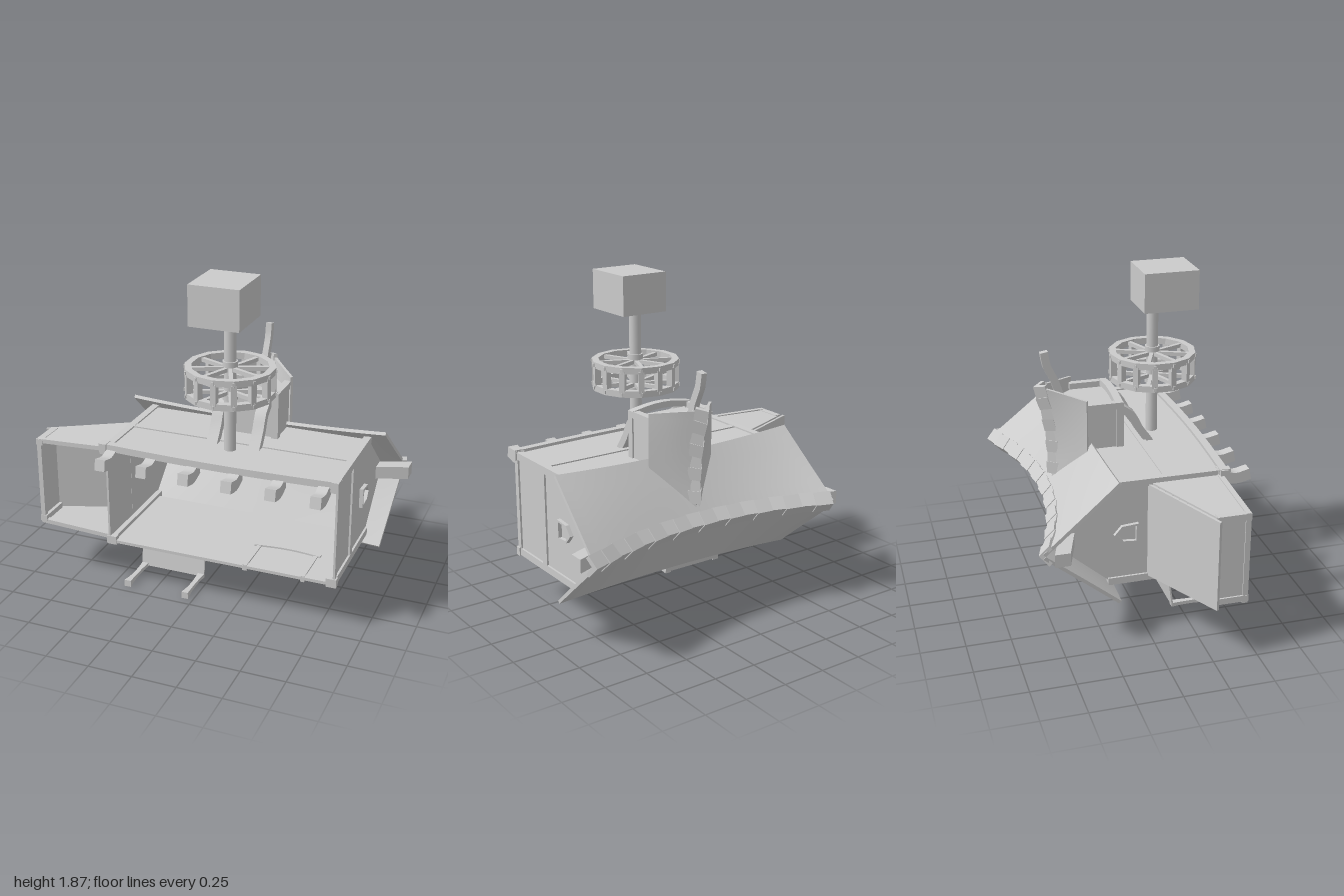
import * as THREE from 'three';

const mat = new THREE.MeshStandardMaterial({ color: 0xcccccc, side: THREE.DoubleSide });
const flat = new THREE.MeshStandardMaterial({ color: 0xcccccc, side: THREE.DoubleSide, flatShading: true });
const V = (x, y, z) => new THREE.Vector3(x, y, z);
const CX = 0.145; // shared centre line of dormer, wheel and roof sag

export function createModel() {
  const root = new THREE.Group();
  const add = (name, geo, m = mat) => {
    const mesh = new THREE.Mesh(geo, m);
    mesh.name = name;
    root.add(mesh);
    return mesh;
  };
  const box = (name, x0, x1, y0, y1, z0, z1) => {
    const m = add(name, new THREE.BoxGeometry(x1 - x0, y1 - y0, z1 - z0));
    m.position.set((x0 + x1) / 2, (y0 + y1) / 2, (z0 + z1) / 2);
    return m;
  };
  // Box whose vertices (a, b, c in 0..1) are moved by a rule
  const bend = (name, rule, sa = 1, sb = 1, sc = 1) => {
    const g = new THREE.BoxGeometry(1, 1, 1, sa, sb, sc);
    const p = g.attributes.position;
    for (let i = 0; i < p.count; i++) {
      const v = rule(p.getX(i) + 0.5, p.getY(i) + 0.5, p.getZ(i) + 0.5);
      p.setXYZ(i, v.x, v.y, v.z);
    }
    g.computeVertexNormals();
    return add(name, g);
  };
  // Flat panel in the zy plane at a given x
  const sidePanel = (name, x, pts) => {
    const s = new THREE.Shape(pts.map(([z, y]) => new THREE.Vector2(-z, y)));
    const m = add(name, new THREE.ShapeGeometry(s));
    m.rotation.y = Math.PI / 2;
    m.position.x = x;
  };
  // Bar of rectangular section following (y, z) points, width along x
  const curvedBar = (name, x, w, h, pts) => {
    const c = new THREE.CatmullRomCurve3(pts.map(([y, z]) => V(x, y, z)));
    bend(name, (a, b, t) => {
      const p = c.getPoint(t), d = c.getTangent(t);
      return V(x + (a - 0.5) * w, p.y + (b - 0.5) * h * d.z, p.z - (b - 0.5) * h * d.y);
    }, 1, 1, 6);
  };
  // Row of overlapping chevron tiles along a curve, pointing to -z
  const ridgeTiles = (name, at, n, half, drop) => {
    const s = new THREE.Shape([[0, 0.025], [half, 0.025 - drop], [half - 0.018, 0.008 - drop], [0, -0.008],
      [0.018 - half, 0.008 - drop], [-half, 0.025 - drop]].map(q => new THREE.Vector2(...q)));
    for (let i = 0; i < n; i++) {
      const p = at(i / n), t = at((i + 1) / n).sub(p), len = t.length();
      t.normalize();
      const across = V(0, 0, -1).cross(t).normalize();
      const g = new THREE.ExtrudeGeometry(s, { depth: len * 1.08, bevelEnabled: false });
      g.rotateX(i % 2 ? 0.06 : -0.07);
      g.applyMatrix4(new THREE.Matrix4().makeBasis(across, t.clone().cross(across), t).setPosition(p));
      add(name, g, flat);
    }
  };

  // Main body: open towards +z
  box('upperWall', -0.51, 0.82, 0.87, 0.885, -0.17, 0.45);
  box('lowerWall', -0.51, 0.82, 0.28, 0.292, -0.17, 0.45);
  for (const [x, tip, s] of [[-0.51, -0.52, -1], [0.82, -0.53, 1]]) {
    sidePanel('gableWall', x, [[0.45, 0.285], [0.45, 0.88], [-0.18, 0.88], [tip, 0.58], [-0.18, 0.285]]);
    const x0 = Math.min(x - s * 0.03, x + s * 0.012), x1 = Math.max(x - s * 0.03, x + s * 0.012);
    for (const y of [0.272, 0.852]) {
      box('cornerPost', x0, x1, y, y + 0.042, -0.2, 0.45);
      box('postFoot', x0 - 0.008, x1 + 0.008, y - 0.004, y + 0.046, 0.42, 0.455);
    }
    const thin = [x + s * 0.005 - 0.006, x + s * 0.005 + 0.006];
    box('sideRail', ...thin, 0.28, 0.88, 0.115, 0.16);
    box('sideSill', ...thin, 0.28, 0.88, 0.415, 0.45);
    // Ridge beam end
    bend('ridgeBeamEnd', (a, b, c) => V(x + s * a * (s > 0 ? 0.18 : 0.21), 0.545 + b * 0.075, -0.385 - a * 0.07 - c * 0.085));
  }
  for (const y of [0.274, 0.88]) {
    box('longRail', -0.5, 0.81, y, y + 0.012, 0.115, 0.16);
  }
  box('lowerSill', -0.51, 0.82, 0.278, 0.296, 0.415, 0.452);
  bend('frontBeam', (a, b, c) =>
    V(-0.55 + a * 1.39, 0.862 + b * 0.04, 0.425 + c * 0.045 + 0.025 * Math.sin(Math.PI * a)), 12);
  for (const x of [-0.54, 0.8]) box('frontBeamEnd', x, x + 0.04, 0.845, 0.905, 0.425, 0.485);
  for (let i = 0; i < 6; i++) {
    curvedBar('joistEnd', -0.472 + i * 0.246, 0.06, 0.065, [[0.845, 0.45], [0.823, 0.53], [0.84, 0.615]]);
  }

  // Main roof: ridge sags in the middle, eaves flare at the ends
  const u2 = x => ((x - CX) / 0.79) ** 2;
  const ridgeZ = x => -0.4 - 0.17 * u2(x);
  for (const s of [1, -1]) {
    bend(s > 0 ? 'upperRoof' : 'lowerRoof', (a, b, c) => {
      const x = CX + (a - 0.5) * (1.55 + 0.05 * c);
      const eave = 0.325 + 0.027 * u2(x);
      return V(x, 0.58 + s * (eave * (1 - c) + b * 0.014), -0.155 + (ridgeZ(x) + 0.155) * c - b * 0.014);
    }, 24, 1, 4);
  }
  ridgeTiles('ridgeTile', t => { const x = -0.645 + t * 1.59; return V(x, 0.58, ridgeZ(x) - 0.015); }, 18, 0.06, 0.055);

  // House-shaped window frames, point towards -z
  const house = k => [[-0.058, -0.06], [0.058, -0.06], [0.05, 0.035], [0, 0.078], [-0.05, 0.035]]
    .map(([a, b]) => new THREE.Vector2(a * k, b * k));
  const frame = new THREE.Shape(house(1));
  frame.holes.push(new THREE.Path(house(0.78)));
  const frameGeo = new THREE.ExtrudeGeometry(frame, { depth: 0.022, bevelEnabled: false });
  for (const [x, y, z, nx, ny] of [[0.82, 0.58, -0.09, 1, 0], [-0.51, 0.58, -0.09, -1, 0],
    [0.57, 0.28, -0.05, 0, -1], [-0.15, 0.28, -0.05, 0, -1]]) {
    const n = V(nx, ny, 0), up = V(0, 0, -1);
    const m = add('windowFrame', frameGeo);
    m.quaternion.setFromRotationMatrix(new THREE.Matrix4().makeBasis(up.clone().cross(n), up, n));
    m.position.set(x, y, z);
  }

  // Doorway frame in the lower wall
  for (const x of [0.3, 0.635]) box('doorPost', x, x + 0.025, 0.265, 0.3, 0.21, 0.45);
  bend('doorLintel', (a, b, c) => V(0.285 + a * 0.39, 0.262 + b * 0.04, 0.185 + c * 0.028 - 0.02 * Math.sin(Math.PI * a)), 8);

  // Lean-to on the right-hand end, open towards +z
  bend('leanToRoof', (a, b, c) => V(-0.995 + a * 0.485 - b * 0.006, 0.32 - 0.02 * a + c * (0.52 + 0.04 * a), 0.272 - a * 0.235 - b * 0.014));
  for (const s of [0, 1]) {
    const y = s ? 0.835 : 0.325;
    bend('leanToWall', (a, b, c) => {
      const x = -0.955 + a * 0.445;
      return V(x, y + b * 0.01 + (s ? 0.022 : -0.022) * a, 0.44 + c * (0.262 - a * 0.22 - 0.44));
    });
    box('leanToPost', -0.965, -0.925, s ? 0.815 : 0.33, s ? 0.85 : 0.365, 0.26, 0.447);
    bend('leanToSill', (a, b, c) => V(-0.96 + a * 0.45, y - 0.008 + b * 0.025 + (s ? 0.02 : -0.02) * a, 0.415 + c * 0.03));
  }
  box('leanToEndWall', -0.955, -0.945, 0.33, 0.845, 0.258, 0.44);
  box('leanToEndSill', -0.962, -0.935, 0.33, 0.845, 0.415, 0.445);

  // Porch canopy with two posts
  bend('porchCanopy', (a, b, c) => V(-0.43 + a * 0.4, 0.02 + b * 0.265, 0.2 - b * 0.037 + c * 0.01));
  for (const x of [-0.41, -0.05]) {
    bend('porchPost', (a, b, c) => {
      const k = 0.026 + 0.014 * (2 * c - 1) ** 2;
      return V(x + (a - 0.5) * k, 0.024 + (b - 0.5) * k * (0.6 + 0.4 * c), 0.2 + c * 0.25);
    }, 1, 1, 6);
  }

  // Dormer: walls, gable face, floor beam and braces
  const gable = new THREE.Shape([[-0.165, 0], [0.165, 0], [0.165, 0.2], [0, 0.4], [-0.165, 0.2]].map(q => new THREE.Vector2(...q)));
  const face = add('dormerFace', new THREE.ShapeGeometry(gable));
  face.rotation.x = -Math.PI / 2;
  face.position.set(CX, 1.12, 0);
  box('dormerFloor', CX - 0.165, CX + 0.165, 0.87, 1.12, -0.012, 0);
  bend('dormerFloorBeam', (a, b, c) =>
    V(CX - 0.2 + a * 0.4, 1.12 + b * 0.035 + 0.025 * Math.sin(Math.PI * a), -0.03 + c * 0.045), 8);
  for (const s of [-1, 1]) {
    const x = CX + s * 0.18;
    box('dormerWall', x - 0.01, x + 0.01, 0.87, 1.13, -0.21, 0.0);
    box('dormerPost', x - 0.022, x + 0.018, 1.115, 1.155, -0.21, 0.015);
    box('dormerSill', x - 0.02, x + 0.02, 0.87, 1.155, -0.022, 0.018);
    curvedBar('dormerBrace', CX + s * 0.125, 0.065, 0.045, [[0.87, 0.19], [0.97, 0.12], [1.05, 0.08], [1.11, -0.01]]);
  }

  // Dormer roof: runs back into the main roof along the valley
  const dormerZ = y => -0.35 - 0.075 * ((y - 0.78) / 0.44) ** 2;
  for (const s of [-1, 1]) {
    bend('dormerRoof', (a, b, c) => {
      const y0 = 0.86 - 0.2 * c, y = y0 + a * (1.185 + 0.04 * c - y0);
      return V(CX + s * (0.2 * (1 - c) + b * 0.012), y, -0.19 + (dormerZ(y) + 0.19) * c - b * 0.01);
    }, 10, 1, 3);
  }
  ridgeTiles('dormerRidgeTile', t => { const y = 0.68 + t * 0.54; return V(CX, y, dormerZ(y) - 0.012); }, 8, 0.048, 0.06);
  curvedBar('dormerPole', CX, 0.035, 0.045, [[1.1, -0.29], [1.25, -0.335], [1.34, -0.378], [1.425, -0.393]]);

  // Wheel on its axle, with the end block
  const wheel = new THREE.Group();
  wheel.name = 'wheel';
  wheel.position.set(CX, 0, 0.242);
  root.add(wheel);
  const part = (name, geo, y, m = mat) => {
    const mesh = add(name, geo, m);
    mesh.position.y = y;
    wheel.add(mesh);
    return mesh;
  };
  part('axle', new THREE.CylinderGeometry(0.034, 0.034, 0.78, 12), 1.265);
  for (const y of [1.2, 1.39]) part('hubCollar', new THREE.CylinderGeometry(0.043, 0.043, 0.03, 12), y);
  const rim = new THREE.LatheGeometry([[0.212, -0.018], [0.25, -0.018], [0.25, 0.018], [0.212, 0.018], [0.212, -0.018]]
    .map(q => new THREE.Vector2(...q)), 14);
  for (const y of [1.227, 1.36]) {
    part('rim', rim, y, flat);
    for (let i = 0; i < 8; i++) {
      const g = new THREE.BoxGeometry(0.2, 0.022, 0.022).translate(0.125, 0, 0);
      part('spoke', g, y).rotation.y = (i + 0.5) * Math.PI / 4;
    }
  }
  for (let i = 0; i < 14; i++) {
    const g = new THREE.BoxGeometry(0.036, 0.12, 0.032).translate(0.231, 0, 0);
    g.rotateY((i + 0.5) * Math.PI / 7);
    part('paddle', g, 1.293);
    const peg = new THREE.BoxGeometry(0.012, 0.018, 0.014).translate(0.249, 0, 0);
    for (const y of [1.227, 1.36]) part('peg', peg, y).rotation.y = (i + 0.5) * Math.PI / 7;
  }
  box('endBlock', -0.005, 0.28, 1.645, 1.87, 0.15, 0.465);

  return root;
}
